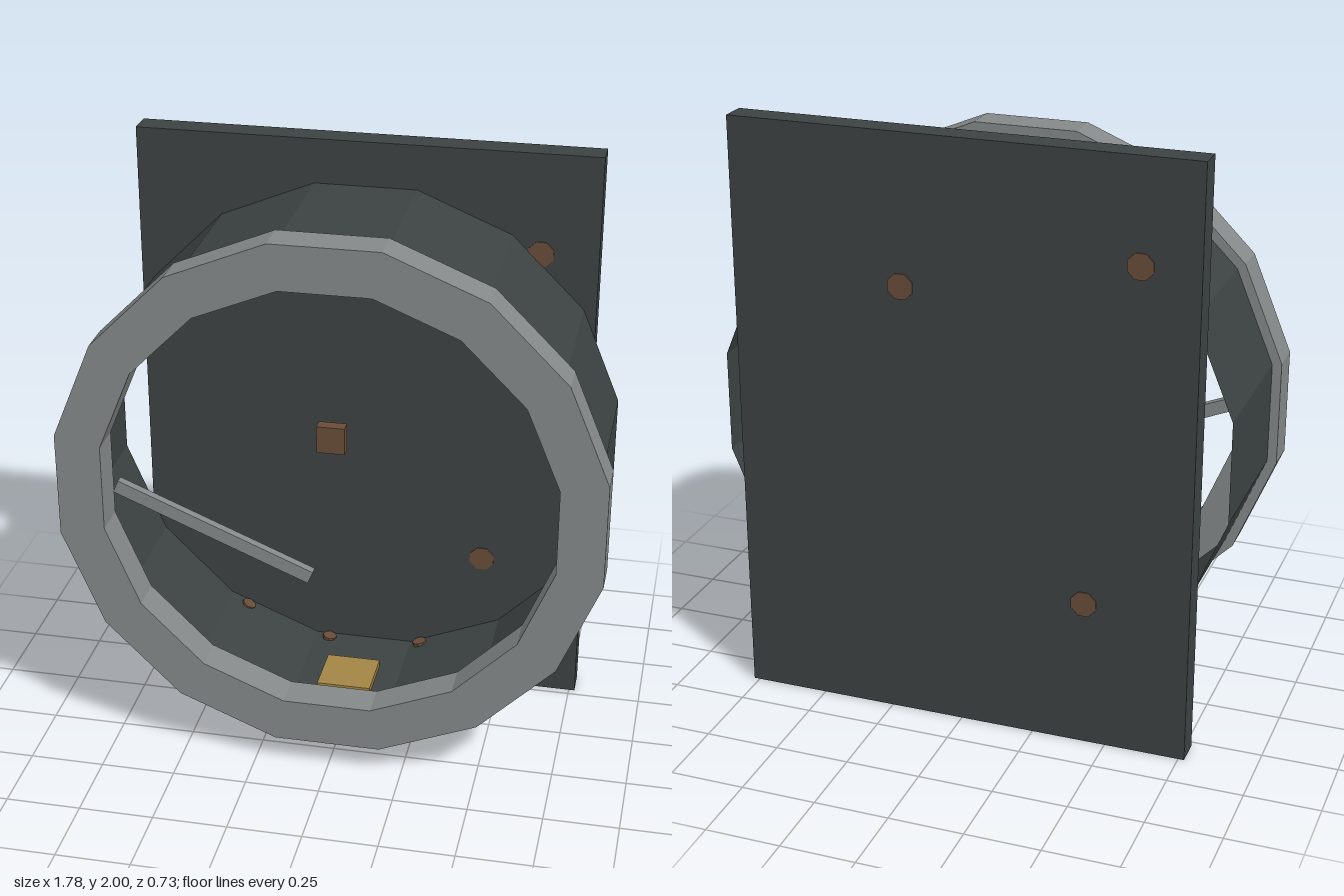
import * as THREE from 'three';

const mat = (name, color, extra = {}) => {
  const m = new THREE.MeshStandardMaterial({ color, flatShading: true, ...extra });
  m.name = name;
  return m;
};

export function createModel() {
  const group = new THREE.Group();
  const dark = mat('dark casing', 0x3c4242);
  const darkWall = mat('dark casing wall', 0x3c4242, { side: THREE.DoubleSide });
  const grey = mat('grey metal', 0x858989);
  const brown = mat('brown copper', 0x684c38);
  const gold = mat('brass', 0xa38544);

  const CY = 0.99, SIDES = 16;
  const add = (name, geo, material, x, y, z) => {
    const mesh = new THREE.Mesh(geo, material);
    mesh.name = name;
    mesh.position.set(x, y, z);
    group.add(mesh);
    return mesh;
  };
  const box = (name, w, h, d, material, x, y, z) =>
    add(name, new THREE.BoxGeometry(w, h, d), material, x, y, z);

  // Sixteen-sided outline with flats on the axes
  const ringPoints = r => Array.from({ length: SIDES }, (_, i) => {
    const a = (i + 0.5) * Math.PI * 2 / SIDES;
    return new THREE.Vector2(r * Math.cos(a), r * Math.sin(a));
  });

  // Mounting plate
  box('backPlate', 1.54, 2, 0.09, dark, 0, 1, -0.32);

  // Open drum
  const drum = new THREE.CylinderGeometry(0.876, 0.876, 0.52, SIDES, 1, true);
  drum.rotateY(Math.PI / SIDES).rotateX(Math.PI / 2);
  add('drum', drum, darkWall, 0, CY, -0.015);

  // Front bezel
  const bezel = new THREE.Shape(ringPoints(0.908));
  bezel.holes.push(new THREE.Path(ringPoints(0.754)));
  add('bezel', new THREE.ExtrudeGeometry(bezel, { depth: 0.12, bevelEnabled: false }),
    grey, 0, CY, 0.245);

  // Pointer and small square block near the dial face
  const pointer = box('pointer', 0.7, 0.045, 0.03, grey, -0.385, 0.845, 0.305);
  pointer.rotation.z = Math.atan2(-0.27, 0.65);
  box('dialBlock', 0.09, 0.09, 0.04, brown, 0.015, 1.235, 0.335);

  // Bottom fitting, passing through the drum floor
  box('bottomFitting', 0.185, 0.155, 0.185, gold, 0, 0.0775, 0);

  // Flush rivets on both faces of the plate, mirrored on the back
  const rivet = new THREE.CylinderGeometry(0.045, 0.045, 0.008, 8);
  rivet.rotateY(Math.PI / 8).rotateX(Math.PI / 2);
  for (const [x, y] of [[-0.195, 1.505], [0.58, 1.66], [0.42, 0.505]]) {
    add('frontRivet', rivet, brown, x, y, -0.275);
    add('backRivet', rivet, brown, -x, y, -0.365);
  }

  // Small studs through the lower drum wall
  const stud = new THREE.CylinderGeometry(0.025, 0.025, 0.016, 8);
  for (const deg of [241, 262, 284]) {
    const a = deg * Math.PI / 180;
    const m = add('drumStud', stud, brown, 0.866 * Math.cos(a), CY + 0.866 * Math.sin(a), -0.245);
    m.rotation.z = a - Math.PI / 2;
  }
  return group;
}
